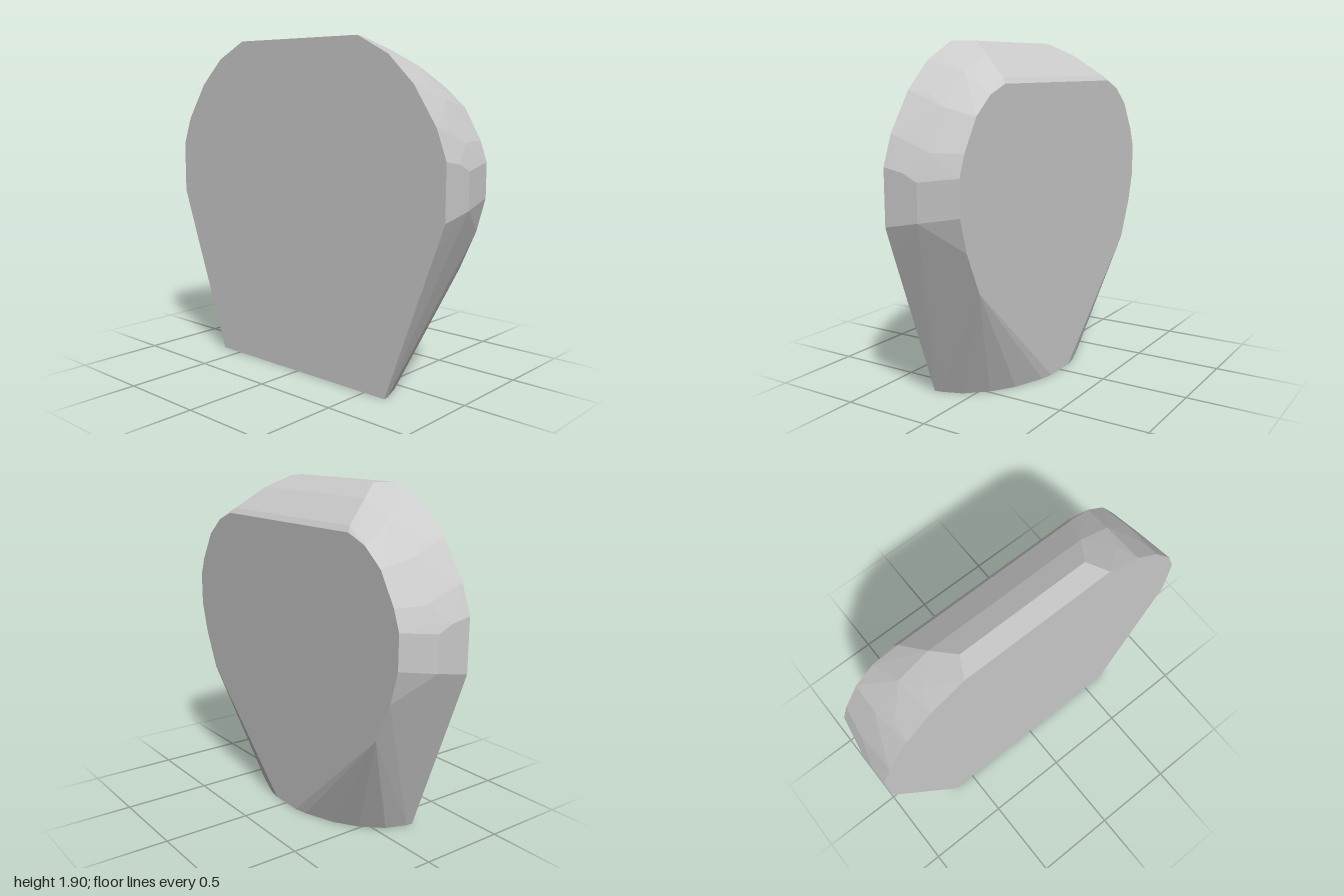
import * as THREE from 'three';
import { ConvexGeometry } from 'three/addons/geometries/ConvexGeometry.js';

// Half outlines [x, y] at each depth z, mirrored in x
const sections = [
  // front face
  { z: 0.215, half: [[0.64, 0], [0.95, 0.84], [1, 0.98], [1, 1.28], [0.94, 1.44], [0.8, 1.65], [0.64, 1.8], [0.44, 1.9]] },
  // end of the flat top
  { z: 0.1, half: [[0.38, 1.9], [0.6, 1.8], [0.79, 1.64], [0.93, 1.43], [1, 1.26]] },
  // widest point of the sides
  { z: 0.01, half: [[1, 1.22], [1, 1.02]] },
  // shoulder of the bevel
  { z: -0.03, half: [[0.47, 1.83], [0.66, 1.74], [0.83, 1.57], [0.95, 1.36]] },
  { z: -0.19, half: [[0.55, 1.71]] },
  // back face
  { z: -0.215, half: [[0.1, 0], [0.81, 0.66], [0.91, 0.88], [0.96, 1.06], [0.96, 1.25], [0.92, 1.36], [0.82, 1.53], [0.7, 1.63], [0.57, 1.68]] },
];

// Curved rear edge of the base [x, z] at y = 0
const baseCurve = [[0.635, 0.18], [0.59, 0.06], [0.49, -0.05], [0.36, -0.135], [0.18, -0.2]];

export function createModel() {
  const points = [];
  const addPair = (x, y, z) => {
    for (const side of [-1, 1]) points.push(new THREE.Vector3(side * x, y, z));
  };
  for (const { z, half } of sections) for (const [x, y] of half) addPair(x, y, z);
  for (const [x, z] of baseCurve) addPair(x, 0, z);

  // Solid faceted slab stretched over the sections
  const slab = new THREE.Mesh(
    new ConvexGeometry(points),
    new THREE.MeshStandardMaterial({ color: 0xcccccc, flatShading: true })
  );
  slab.name = 'bevelledSlab';

  const group = new THREE.Group();
  group.name = 'roundedSlab';
  group.add(slab);
  return group;
}
